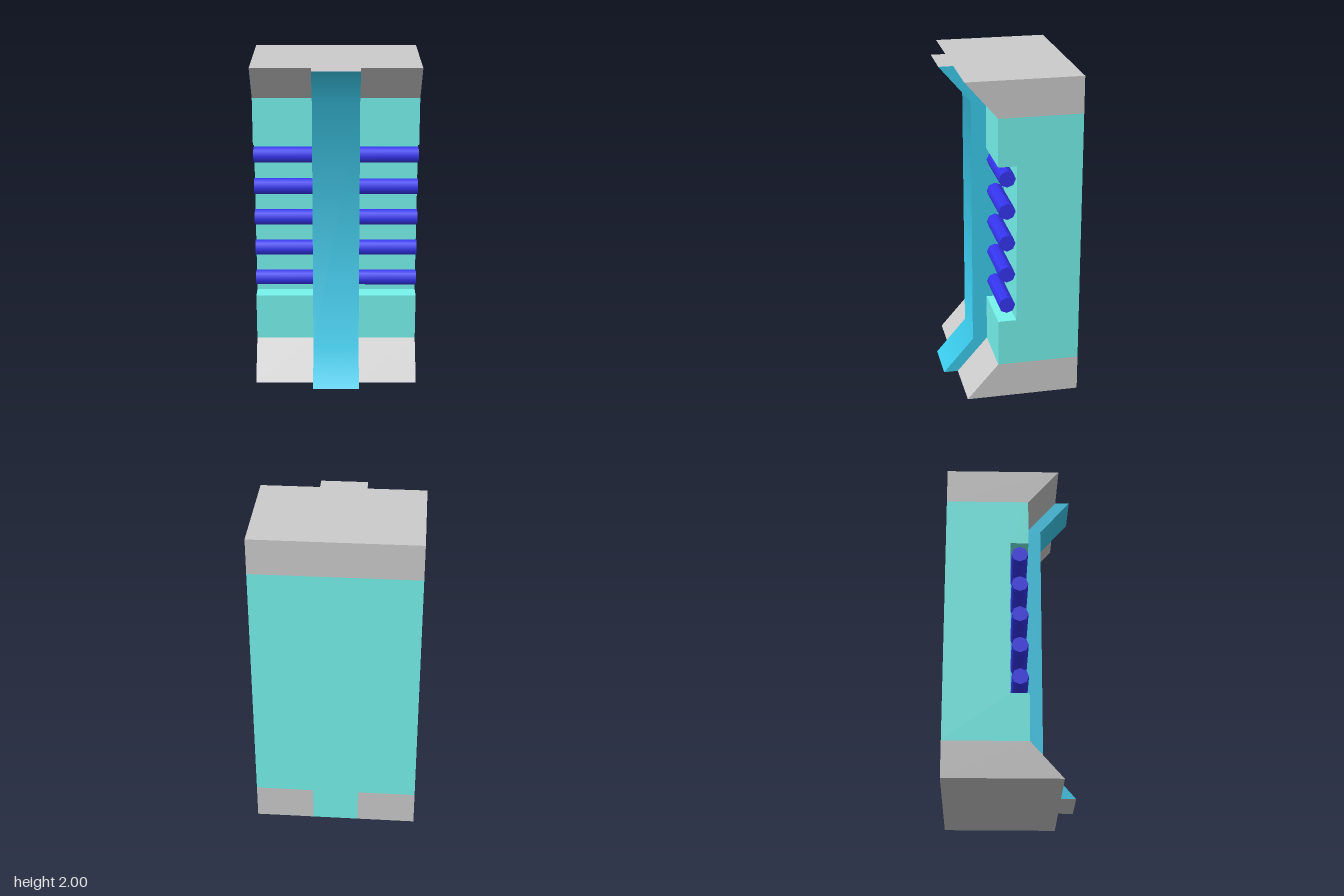
import * as THREE from 'three';

const W = 0.5, S = 0.142;              // half widths of the block and the strip
const BACK = -0.388, TOP = 2;
const LOW = 0.22, HIGH = 1.78;         // where the flared ends meet the body
const R0 = 0.51, R1 = 1.49;            // recess behind the rods

const mat = (color, side = THREE.FrontSide) => new THREE.MeshStandardMaterial({ color, side });
const shapeOf = (pts) => new THREE.Shape(pts.map(([z, y]) => new THREE.Vector2(z, y)));

// Solid with a side profile of [z, y] points, running from x0 to x1
function prism(pts, x0, x1) {
  return new THREE.ExtrudeGeometry(shapeOf(pts), { depth: x1 - x0, bevelEnabled: false })
    .rotateY(-Math.PI / 2).translate(x1, 0, 0);
}

// Open sheet of strip width along [z, y] points; tilts gives the pitch of the normals
function ribbon(pts, tilts) {
  const pos = [], index = [], normals = [];
  pts.forEach(([z, y], i) => {
    pos.push(-S, y, z, S, y, z);
    if (tilts) {
      const n = [0, Math.sin(tilts[i]), Math.cos(tilts[i])];
      normals.push(...n, ...n);
    }
    if (i) {
      const a = 2 * i - 2;
      index.push(a, a + 1, a + 3, a, a + 3, a + 2);
    }
  });
  const g = new THREE.BufferGeometry();
  g.setAttribute('position', new THREE.Float32BufferAttribute(pos, 3));
  g.setIndex(index);
  if (tilts) g.setAttribute('normal', new THREE.Float32BufferAttribute(normals, 3));
  else g.computeVertexNormals();
  return g;
}

export function createModel() {
  const group = new THREE.Group();
  const grey = mat(0xcccccc), teal = mat(0x76f4ed), rodBlue = mat(0x3535f1);
  const blue = mat(0x3bcced), blueSheet = mat(0x3bcced, THREE.DoubleSide);
  const add = (name, geometry, material) => {
    const mesh = new THREE.Mesh(geometry, material);
    mesh.name = name;
    group.add(mesh);
    return mesh;
  };

  // Main body with the recess in its front
  add('body', prism([[BACK, LOW], [0.11, LOW], [0.11, R0], [0, R0], [0, R1],
    [0.11, R1], [0.11, HIGH], [BACK, HIGH]], -W, W), teal);

  // Flared ends; the base is split by an inlay at the back
  add('topCap', prism([[BACK, HIGH], [0.11, HIGH], [0.3, TOP], [BACK, TOP]], -W, W), grey);
  const foot = [[BACK, 0], [0.3, 0], [0.11, LOW], [BACK, LOW]];
  add('baseRight', prism(foot, -W, -S), grey);
  add('baseLeft', prism(foot, S, W), grey);
  add('baseUnderside', ribbon([[BACK, 0], [0.388, 0]]), grey);
  add('backInlay', ribbon([[BACK, LOW], [BACK, 0]]), teal);

  // Central strip: softly shaded front, flat sides, grey upper end
  const front = [[0.388, 0], [0.2, LOW], [0.2, HIGH], [0.388, TOP]];
  const tilt = Math.atan2(0.188, LOW);
  add('stripFront', ribbon(front, [tilt, tilt / 2, -tilt / 2, -tilt]), blue);
  add('stripTopEnd', ribbon([[0.388, TOP], [0.3, TOP]]), grey);
  const side = [...front, [0.3, TOP], [0.11, HIGH], [0.11, R1], [0, R1],
    [0, R0], [0.11, R0], [0.11, LOW], [0.3, 0]];
  for (const s of [-1, 1]) {
    add(s < 0 ? 'stripSideRight' : 'stripSideLeft',
      new THREE.ShapeGeometry(shapeOf(side)).rotateY(-Math.PI / 2).translate(s * S, 0, 0), blueSheet);
  }

  // Horizontal rods across the recess
  for (let i = 0; i < 5; i++) {
    const rod = add('rod', new THREE.CylinderGeometry(0.05, 0.05, 2 * W, 8).rotateZ(Math.PI / 2), rodBlue);
    rod.position.set(0, 0.615 + 0.2 * i, 0.057);
  }
  return group;
}
